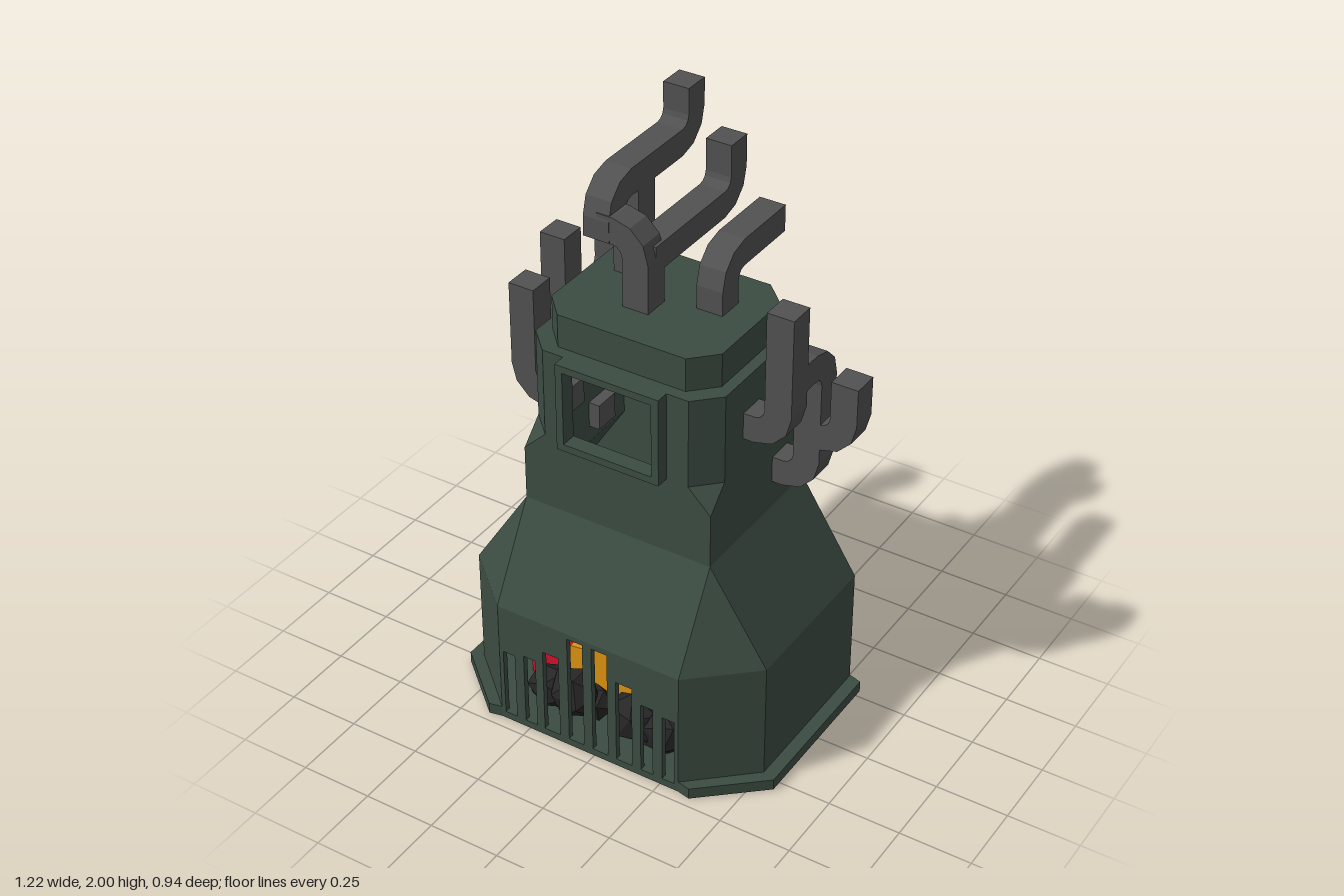
import * as THREE from 'three';

const mat = (name, color, side = THREE.FrontSide) => {
  const m = new THREE.MeshStandardMaterial({ color, side });
  m.name = name;
  return m;
};

export function createModel() {
  const group = new THREE.Group();
  const green = mat('dark green iron', 0x3c4c42, THREE.DoubleSide);
  const grey = mat('grey pipe', 0x515151);
  const red = mat('red flame', 0xd0112b);
  const orange = mat('orange flame', 0xdc9212);
  const black = mat('black coal', 0x262626);

  const add = (name, geometry, material, x = 0, y = 0, z = 0) => {
    const mesh = new THREE.Mesh(geometry, material);
    mesh.name = name;
    mesh.position.set(x, y, z);
    group.add(mesh);
    return mesh;
  };
  const poly = (pts) => new THREE.Shape(pts.map(([x, y]) => new THREE.Vector2(x, y)));
  const rect = (x0, x1, y0, y1) => poly([[x0, y0], [x1, y0], [x1, y1], [x0, y1]]);
  const extrude = (shape, depth) => new THREE.ExtrudeGeometry(shape, { depth, bevelEnabled: false });
  // Horizontal slab from an outline given as [x, z]
  const slab = (pts, height) => extrude(poly(pts.map(([x, z]) => [x, -z])), height).rotateX(-Math.PI / 2);

  // Hollow furnace shell: rings of [y, half width, front z, chamfer x, chamfer z]
  const CX = -0.02, BACK = -0.285;
  const rings = [
    [0, 0.545, 0.46, 0.205, 0.185], [0.46, 0.545, 0.46, 0.205, 0.185],
    [0.78, 0.34, 0.28, 0, 0], [0.97, 0.34, 0.28, 0, 0],
    [1.05, 0.34, 0.28, 0.08, 0.08], [1.36, 0.34, 0.28, 0.08, 0.08],
  ].map(([y, w, f, cx, cz]) => [
    [-w, BACK], [-w, f - cz], [-w + cx, f], [w - cx, f], [w, f - cz], [w, BACK],
  ].map(([x, z]) => new THREE.Vector3(x + CX, y, z)));
  const pos = [];
  const tri = (a, b, c) => {
    if (new THREE.Triangle(a, b, c).getArea() < 1e-6) return;
    for (const p of [a, b, c]) pos.push(p.x, p.y, p.z);
  };
  for (let r = 0; r < rings.length - 1; r++) {
    for (let i = 0; i < 6; i++) {
      if (i === 2 && (r === 0 || r === 4)) continue; // pierced panels go here
      const j = (i + 1) % 6, lo = rings[r], hi = rings[r + 1];
      tri(lo[i], lo[j], hi[j]);
      tri(lo[i], hi[j], hi[i]);
    }
  }
  const top = rings[rings.length - 1];
  for (let i = 1; i < 5; i++) tri(top[0], top[i], top[i + 1]);
  const shell = new THREE.BufferGeometry();
  shell.setAttribute('position', new THREE.Float32BufferAttribute(pos, 3));
  shell.computeVertexNormals();
  add('furnaceBody', shell, green);

  // Grate with slots rising towards the middle
  const grate = rect(-0.36, 0.32, 0, 0.46);
  [[-0.345, -0.3, 0.28], [-0.265, -0.22, 0.295], [-0.19, -0.13, 0.345], [-0.095, -0.037, 0.44],
    [-0.003, 0.055, 0.44], [0.087, 0.147, 0.345], [0.18, 0.225, 0.295], [0.26, 0.305, 0.28],
  ].forEach(([x0, x1, y1]) => grate.holes.push(rect(x0, x1, 0.026, y1)));
  add('grate', extrude(grate, 0.02), green, 0, 0, 0.44);

  // Upper panel and its raised window frame
  const opening = () => rect(-0.18, 0.137, 1.075, 1.335);
  const panel = rect(-0.28, 0.24, 1.05, 1.36);
  panel.holes.push(opening());
  add('windowPanel', extrude(panel, 0.01), green, 0, 0, 0.27);
  const frame = rect(-0.205, 0.163, 1.05, 1.36);
  frame.holes.push(opening());
  add('windowFrame', extrude(frame, 0.045), green, 0, 0, 0.28);

  // Floor, side skirts and top cap
  add('floor', slab([[-0.565, -0.285], [-0.565, 0.275], [-0.36, 0.455], [0.32, 0.455],
    [0.525, 0.275], [0.525, -0.285]], 0.024), green);
  for (const s of [-1, 1]) {
    const pts = [[0.545, -0.288], [0.59, -0.275], [0.59, 0.29], [0.385, 0.47], [0.34, 0.46], [0.545, 0.275]];
    add('skirt', slab(pts.map(([x, z]) => [CX + s * x, z]), 0.04), green);
  }
  add('topCap', slab([[-0.25, -0.25], [-0.325, -0.175], [-0.325, 0.16], [-0.25, 0.24],
    [0.205, 0.24], [0.282, 0.16], [0.282, -0.175], [0.205, -0.25]], 0.115), green, 0, 1.36);

  // Fire: jagged flames with coal in front
  add('outerFlames', extrude(poly([[-0.39, 0.024], [-0.4, 0.3], [-0.33, 0.38], [-0.28, 0.34], [-0.2, 0.46],
    [-0.14, 0.4], [-0.05, 0.56], [0.02, 0.47], [0.08, 0.52], [0.14, 0.38], [0.22, 0.43],
    [0.28, 0.33], [0.35, 0.36], [0.35, 0.024]]), 0.06), red, 0, 0, 0.18);
  add('innerFlames', extrude(poly([[-0.24, 0.024], [-0.2, 0.25], [-0.13, 0.26], [-0.1, 0.4], [-0.075, 0.46],
    [-0.035, 0.38], [0.0, 0.34], [0.06, 0.39], [0.06, 0.22], [0.12, 0.18], [0.14, 0.024]]), 0.04), orange, 0, 0, 0.25);
  add('flameTip', extrude(poly([[-0.005, 0.36], [0.06, 0.4], [0.06, 0.5], [-0.01, 0.5]]), 0.04), orange, 0, 0, 0.25);
  [[-0.24, 0.1, 0.34, 0.09], [-0.14, 0.13, 0.36, 0.1], [0.09, 0.13, 0.36, 0.1], [0.19, 0.11, 0.34, 0.1],
    [-0.09, 0.08, 0.31, 0.07], [0.27, 0.06, 0.31, 0.06], [-0.3, 0.04, 0.31, 0.05],
  ].forEach(([x, y, z, r], i) => {
    const coal = add('coal', new THREE.IcosahedronGeometry(r, 0).toNonIndexed(), black, x, y, z);
    coal.scale.set(1, 0.95, 0.75);
    coal.rotation.z = i * 1.3;
  });

  // Square pipe along a planar path with rounded corners
  const HALF = 0.046, R = 0.08, STEPS = 3;
  const pipe = (name, plane, offset, path) => {
    const P = path.map(([u, v]) => new THREE.Vector2(u, v));
    const left = [], right = [];
    const put = (p, d) => {
      left.push([p.x - d.y * HALF, p.y + d.x * HALF]);
      right.unshift([p.x + d.y * HALF, p.y - d.x * HALF]);
    };
    const dirs = P.slice(1).map((p, i) => p.clone().sub(P[i]).normalize());
    put(P[0], dirs[0]);
    for (let i = 1; i < P.length - 1; i++) {
      const a = dirs[i - 1], b = dirs[i];
      const centre = P[i].clone().addScaledVector(a, -R).addScaledVector(b, R);
      for (let k = 0; k <= STEPS; k++) {
        const t = (k / STEPS) * Math.PI / 2, c = Math.cos(t), s = Math.sin(t);
        const p = centre.clone().addScaledVector(b, -R * c).addScaledVector(a, R * s);
        put(p, a.clone().multiplyScalar(c).addScaledVector(b, s));
      }
    }
    put(P[P.length - 1], dirs[dirs.length - 1]);
    const g = extrude(poly([...left, ...right]), HALF * 2).translate(0, 0, -HALF);
    if (plane === 'side') g.rotateY(-Math.PI / 2).translate(offset, 0, 0);
    else g.translate(0, 0, offset);
    add(name, g, grey);
  };

  // Chimney pipes on the cap
  pipe('tallChimney', 'side', -0.2, [[0.052, 1.68], [0.052, 1.83], [-0.395, 1.83], [-0.395, 2]]);
  pipe('tallChimneyLeg', 'side', -0.2, [[-0.11, 1.4], [-0.11, 1.82]]);
  pipe('middleChimney', 'front', 0.05, [[-0.064, 1.4], [-0.064, 1.725], [-0.2, 1.725]]);
  pipe('middleChimneyBranch', 'side', -0.064, [[0.05, 1.64], [-0.425, 1.64], [-0.425, 1.83]]);
  pipe('shortChimney', 'side', 0.13, [[-0.06, 1.4], [-0.06, 1.637], [-0.38, 1.637]]);
  // Pipes on the right flank
  pipe('rightFrontPipe', 'front', 0.05, [[-0.32, 1.045], [-0.486, 1.045], [-0.486, 1.42]]);
  pipe('rightRearPipe', 'front', -0.125, [[-0.32, 0.887], [-0.486, 0.887], [-0.486, 1.515]]);
  pipe('rightRearBranch', 'side', -0.486, [[-0.125, 1.195], [-0.428, 1.195], [-0.428, 1.42]]);
  // Pipes on the left flank
  pipe('leftFrontPipe', 'front', 0.05, [[0.28, 1.195], [0.438, 1.195], [0.438, 1.62]]);
  pipe('leftRearPipe', 'front', -0.132, [[0.28, 0.925], [0.438, 0.925], [0.438, 1.2]]);
  pipe('leftLinkPipe', 'side', 0.438, [[-0.132, 1.15], [-0.132, 1.375], [0.05, 1.375]]);
  pipe('leftOuterBranch', 'front', -0.132, [[0.438, 1.105], [0.562, 1.105], [0.562, 1.32]]);

  return group;
}
